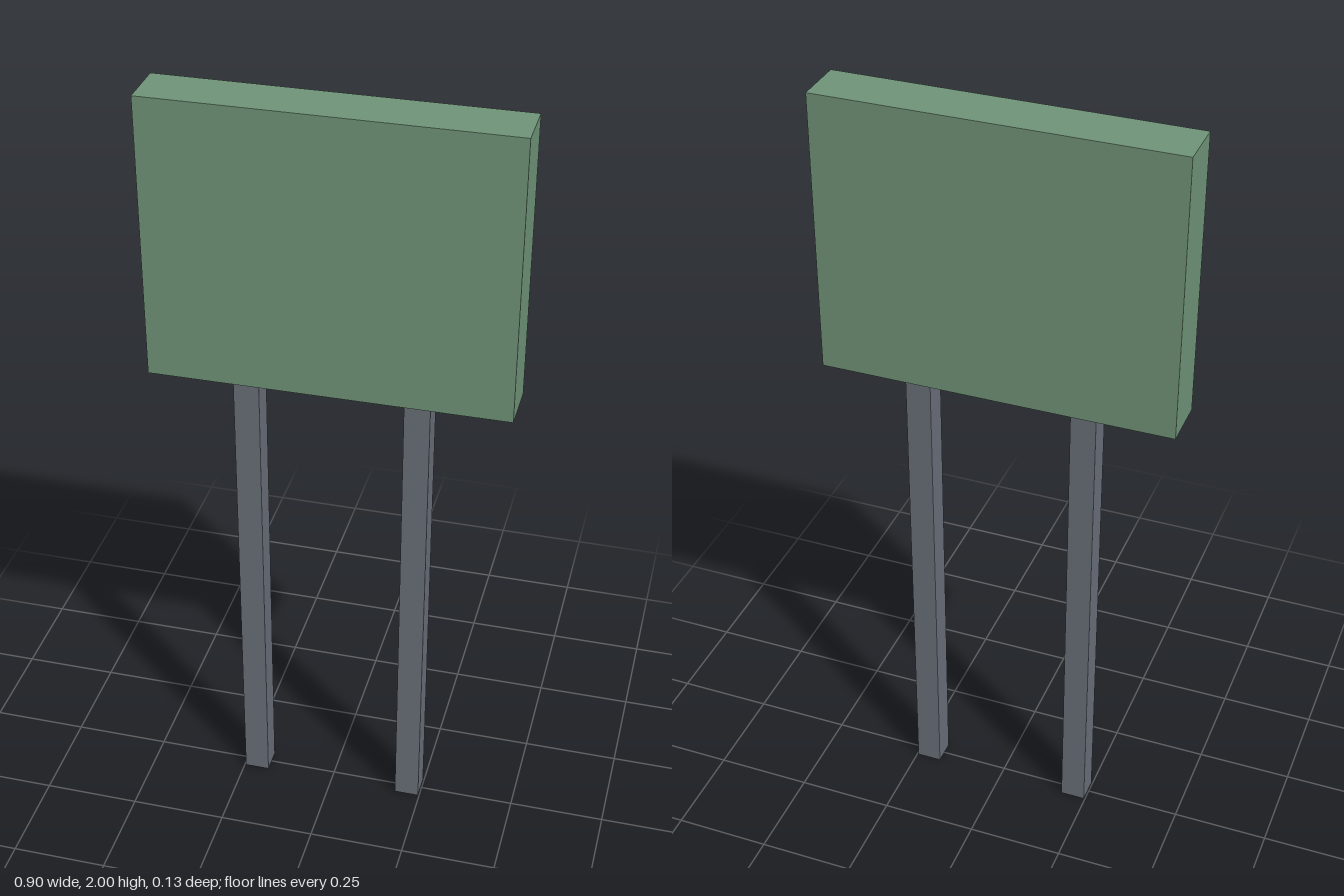
import * as THREE from 'three';

const PANEL_BOTTOM = 1.275;
const LEG_WIDTH = 0.065;

export function createModel() {
  const model = new THREE.Group();
  model.name = 'signboard';

  const green = new THREE.MeshStandardMaterial({ color: 0x709479 });
  green.name = 'panel green';
  const grey = new THREE.MeshStandardMaterial({ color: 0x6a707a, side: THREE.DoubleSide });
  grey.name = 'post grey';

  // Thick rectangular board
  const height = 2 - PANEL_BOTTOM;
  const panel = new THREE.Mesh(new THREE.BoxGeometry(0.905, height, 0.134), green);
  panel.name = 'panel';
  panel.position.y = PANEL_BOTTOM + height / 2;
  model.add(panel);

  // Two square hollow posts, open at the ends
  const radius = LEG_WIDTH / Math.SQRT2;
  const postGeometry = new THREE.CylinderGeometry(radius, radius, PANEL_BOTTOM, 4, 1, true)
    .rotateY(Math.PI / 4)
    .toNonIndexed();
  postGeometry.computeVertexNormals();
  for (const side of [-1, 1]) {
    const post = new THREE.Mesh(postGeometry, grey);
    post.name = side > 0 ? 'leftPost' : 'rightPost';
    post.position.set(side * 0.214, PANEL_BOTTOM / 2, 0);
    model.add(post);
  }

  return model;
}
